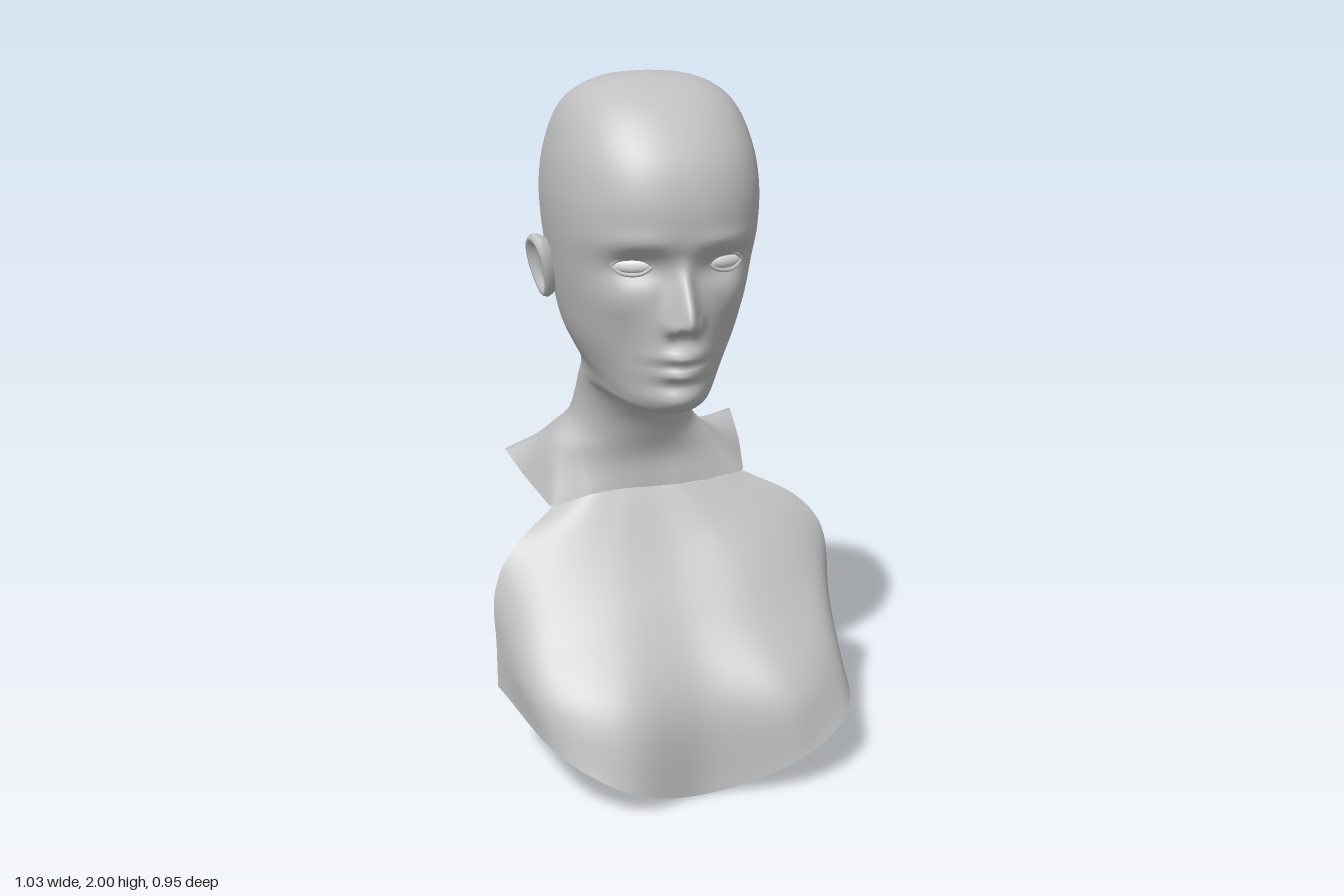
import * as THREE from 'three';

const skin = new THREE.MeshStandardMaterial({ color: 0xc0c0c0, side: THREE.DoubleSide });
skin.name = 'clay grey';
const white = new THREE.MeshStandardMaterial({ color: 0xe8e8e8 });
white.name = 'eye white';

const FACE_X = -0.05;
const spow = (v, p) => Math.sign(v) * Math.abs(v) ** p;
const bump = (d, s) => Math.exp(-(d * d) / (2 * s * s));
const smooth = THREE.MathUtils.smoothstep;

function addMesh(parent, name, geometry, material = skin) {
  const mesh = new THREE.Mesh(geometry, material);
  mesh.name = name;
  parent.add(mesh);
  return mesh;
}

// Skin over a grid of points: rows run down, columns run towards +x at the front
function gridGeometry(rows, closed) {
  const n = rows[0].length, pos = [], index = [];
  rows.forEach(row => row.forEach(p => pos.push(p.x, p.y, p.z)));
  for (let i = 0; i < rows.length - 1; i++) {
    for (let j = 0; j < (closed ? n : n - 1); j++) {
      const k = (j + 1) % n;
      const a = i * n + j, b = a + n, c = i * n + k, d = c + n;
      index.push(a, b, c, c, b, d);
    }
  }
  const g = new THREE.BufferGeometry();
  g.setAttribute('position', new THREE.Float32BufferAttribute(pos, 3));
  g.setIndex(index);
  g.computeVertexNormals();
  return g;
}

// Head and neck rings: front y, front z, side y, side z, half width, back y, back z, front roundness
const RINGS = [
  [2.0, 0.07, 2.0, 0.07, 0.0, 2.0, 0.07, 0.9],
  [1.985, 0.16, 1.985, 0.07, 0.12, 1.985, -0.03, 0.9],
  [1.95, 0.245, 1.95, 0.06, 0.195, 1.95, -0.1, 0.88],
  [1.9, 0.31, 1.9, 0.05, 0.238, 1.9, -0.165, 0.86],
  [1.8, 0.385, 1.8, 0.05, 0.272, 1.8, -0.24, 0.85],
  [1.7, 0.415, 1.7, 0.05, 0.284, 1.7, -0.28, 0.85],
  [1.6, 0.413, 1.6, 0.05, 0.28, 1.6, -0.283, 0.85],
  [1.5, 0.388, 1.5, 0.05, 0.267, 1.5, -0.265, 0.87],
  [1.4, 0.385, 1.4, 0.05, 0.25, 1.4, -0.243, 0.95],
  [1.3, 0.385, 1.31, 0.05, 0.228, 1.32, -0.237, 1.03],
  [1.2, 0.37, 1.24, 0.05, 0.195, 1.25, -0.242, 1.08],
  [1.15, 0.36, 1.205, 0.04, 0.176, 1.2, -0.252, 1.05],
  [1.12, 0.33, 1.18, 0.02, 0.168, 1.17, -0.262, 1],
  [1.112, 0.25, 1.16, 0, 0.165, 1.15, -0.27, 1],
  [1.105, 0.15, 1.13, -0.05, 0.163, 1.12, -0.28, 1],
  [1.04, 0.075, 1.06, -0.1, 0.166, 1.06, -0.302, 1],
  [0.96, 0.03, 0.99, -0.12, 0.185, 0.99, -0.338, 1],
  [0.89, 0.003, 0.93, -0.13, 0.245, 0.92, -0.39, 1],
];

// Cut edge below the neck, from the throat round by the model's left
const CUT = [
  [-0.04, 0.8, 0], [0.05, 0.8, 0], [0.14, 0.8, -0.02], [0.265, 0.8, -0.07],
  [0.29, 0.86, -0.2], [0.3, 0.92, -0.33], [0.23, 0.76, -0.435], [0.1, 0.65, -0.48],
  [-0.05, 0.655, -0.475], [-0.2, 0.68, -0.46], [-0.35, 0.78, -0.395], [-0.42, 0.86, -0.28],
  [-0.385, 0.81, -0.18], [-0.33, 0.75, -0.03], [-0.22, 0.79, 0], [-0.13, 0.8, 0],
].map(p => new THREE.Vector3(...p));

function ringPoint([yF, zF, yM, zM, w, yB, zB, pF], angle) {
  const s = Math.sin(angle), c = Math.cos(angle), front = c > 0;
  const p = front ? pF : (w < 0.19 && yM < 1.25 ? 1 : 0.87), k = Math.abs(c) ** p;
  const z = zM + ((front ? zF : zB) - zM) * k;
  const y = yM + ((front ? yF : yB) - yM) * Math.abs(c);
  return new THREE.Vector3(-0.065 + 0.03 * z + w * spow(s, p), y, z);
}

function cutPoint(angle) {
  const t = angle / (2 * Math.PI) * 16, i = Math.floor(t);
  return CUT[i % 16].clone().lerp(CUT[(i + 1) % 16], t - i);
}

// Nose, sockets, brows, cheeks, lips and chin as forward offsets
function sculptFace(p) {
  if (p.z < 0.15 || p.y < 1.1) return;
  const x = p.x - FACE_X, ax = Math.abs(x), y = p.y;
  const nose = smooth(1.56 - y, 0, 0.17) * smooth(y, 1.338, 1.382);
  const width = 0.017 + 0.01 * smooth(1.5 - y, 0, 0.12);
  p.z += 0.09 * nose * bump(x, width)
    + 0.022 * bump(ax - 0.036, 0.012) * bump(y - 1.368, 0.016)
    - 0.034 * bump(ax - 0.115, 0.05) * bump(y - 1.525, 0.03)
    + 0.01 * bump(ax - 0.12, 0.06) * bump(y - 1.59, 0.02)
    + 0.012 * bump(ax - 0.17, 0.04) * bump(y - 1.43, 0.04)
    - 0.01 * bump(ax - 0.13, 0.04) * bump(y - 1.3, 0.05)
    + 0.026 * bump(x, 0.042) * bump(y - 1.284, 0.014)
    + 0.026 * bump(x, 0.036) * bump(y - 1.236, 0.013)
    - 0.014 * bump(x, 0.05) * bump(y - 1.259, 0.006)
    - 0.008 * bump(x, 0.05) * bump(y - 1.205, 0.014)
    + 0.012 * bump(x, 0.045) * bump(y - 1.16, 0.022);
}

function headAndNeck() {
  const cols = 144, count = 150;
  const rows = Array.from({ length: count + 1 }, () => []);
  for (let j = 0; j < cols; j++) {
    // columns gather towards the face
    const t = 2 * Math.PI * j / cols, angle = t - 0.55 * Math.sin(t);
    const points = RINGS.map(r => ringPoint(r, angle));
    points.push(cutPoint(angle));
    const curve = new THREE.CatmullRomCurve3(points);
    for (let i = 0; i <= count; i++) {
      const p = curve.getPoint(i / count);
      sculptFace(p);
      rows[i].push(p);
    }
  }
  return rows;
}

// Chest lines from the throat down, each running from the model's right to its left
const CHEST = [
  [13, 14, 15, 0, 1, 2, 3].map(i => CUT[i].toArray()),
  [[-0.47, 0.64, 0.035], [-0.33, 0.65, 0.08], [-0.17, 0.65, 0.1], [0, 0.65, 0.09],
    [0.17, 0.65, 0.1], [0.32, 0.67, 0.06], [0.42, 0.72, -0.03]],
  [[-0.515, 0.53, 0.05], [-0.39, 0.48, 0.19], [-0.2, 0.47, 0.25], [0, 0.48, 0.23],
    [0.2, 0.47, 0.25], [0.38, 0.5, 0.17], [0.49, 0.63, 0]],
  [[-0.515, 0.38, 0.06], [-0.43, 0.32, 0.3], [-0.22, 0.28, 0.415], [0.02, 0.27, 0.365],
    [0.27, 0.28, 0.41], [0.43, 0.34, 0.28], [0.505, 0.46, 0.03]],
  [[-0.515, 0.25, 0.065], [-0.39, 0.165, 0.385], [-0.22, 0.08, 0.475], [0.03, 0, 0.39],
    [0.3, 0.11, 0.445], [0.46, 0.2, 0.355], [0.51, 0.31, 0]],
];

function chest() {
  const n = 48;
  const lines = CHEST.map(l => new THREE.CatmullRomCurve3(l.map(p => new THREE.Vector3(...p))));
  const rows = Array.from({ length: n + 1 }, () => []);
  for (let j = 0; j <= n; j++) {
    const down = new THREE.CatmullRomCurve3(lines.map(l => l.getPoint(j / n)));
    for (let i = 0; i <= n; i++) rows[i].push(down.getPoint(i / n));
  }
  return gridGeometry(rows, false);
}

// Dished ear with a raised rim, facing +x
function earGeometry() {
  const profile = [[0, 0.002], [0.5, 0.002], [0.68, 0.01], [0.8, 0.022], [0.92, 0.022],
    [1, 0.01], [0.95, -0.005], [0.7, -0.035], [0.55, -0.06]];
  const g = new THREE.LatheGeometry(profile.map(([r, h]) => new THREE.Vector2(r, h)), 36);
  g.scale(0.092, 1, 0.052);
  g.rotateZ(-Math.PI / 2);
  // narrow towards the lobe
  const pos = g.attributes.position;
  for (let i = 0; i < pos.count; i++) pos.setZ(i, pos.getZ(i) * (1 + 2.2 * pos.getY(i)));
  g.computeVertexNormals();
  return g;
}

export function createModel() {
  const model = new THREE.Group();
  model.name = 'bust';
  const rows = headAndNeck();
  addMesh(model, 'headAndNeck', gridGeometry(rows, true));
  addMesh(model, 'chest', chest());

  const facePoints = rows.flat().filter(p => p.z > 0.15);
  for (const side of [-1, 1]) {
    const label = side > 0 ? 'left' : 'right';

    // Eye set on the nearest point of the face
    const ex = FACE_X + side * 0.125, ey = 1.528;
    const dist = p => (p.x - ex) ** 2 + (p.y - ey) ** 2;
    const spot = facePoints.reduce((a, b) => (dist(b) < dist(a) ? b : a));
    const eye = new THREE.Group();
    eye.name = label + 'Eye';
    eye.position.set(ex, ey, spot.z);
    eye.rotation.y = side * 0.35;
    model.add(eye);
    addMesh(eye, label + 'Eyeball', new THREE.SphereGeometry(1, 24, 16), white).scale.set(0.05, 0.02, 0.013);
    for (const lid of [1, -1]) {
      const arc = [[-0.056, 0, 0], [-0.03, 0.019, 0.008], [0, 0.024, 0.011], [0.03, 0.019, 0.008], [0.056, 0, 0]]
        .map(([x, y, z]) => new THREE.Vector3(x, y * lid, z));
      addMesh(eye, label + (lid > 0 ? 'UpperLid' : 'LowerLid'),
        new THREE.TubeGeometry(new THREE.CatmullRomCurve3(arc), 20, 0.005, 8));
    }

    // Ear leaning out at the top and back
    const mount = new THREE.Group();
    mount.name = label + 'EarMount';
    mount.position.set(-0.067 + side * 0.279, 1.475, side > 0 ? -0.015 : 0.01);
    mount.scale.x = side;
    model.add(mount);
    addMesh(mount, label + 'Ear', earGeometry()).rotation.set(0, -0.25, -0.22);
  }
  return model;
}
